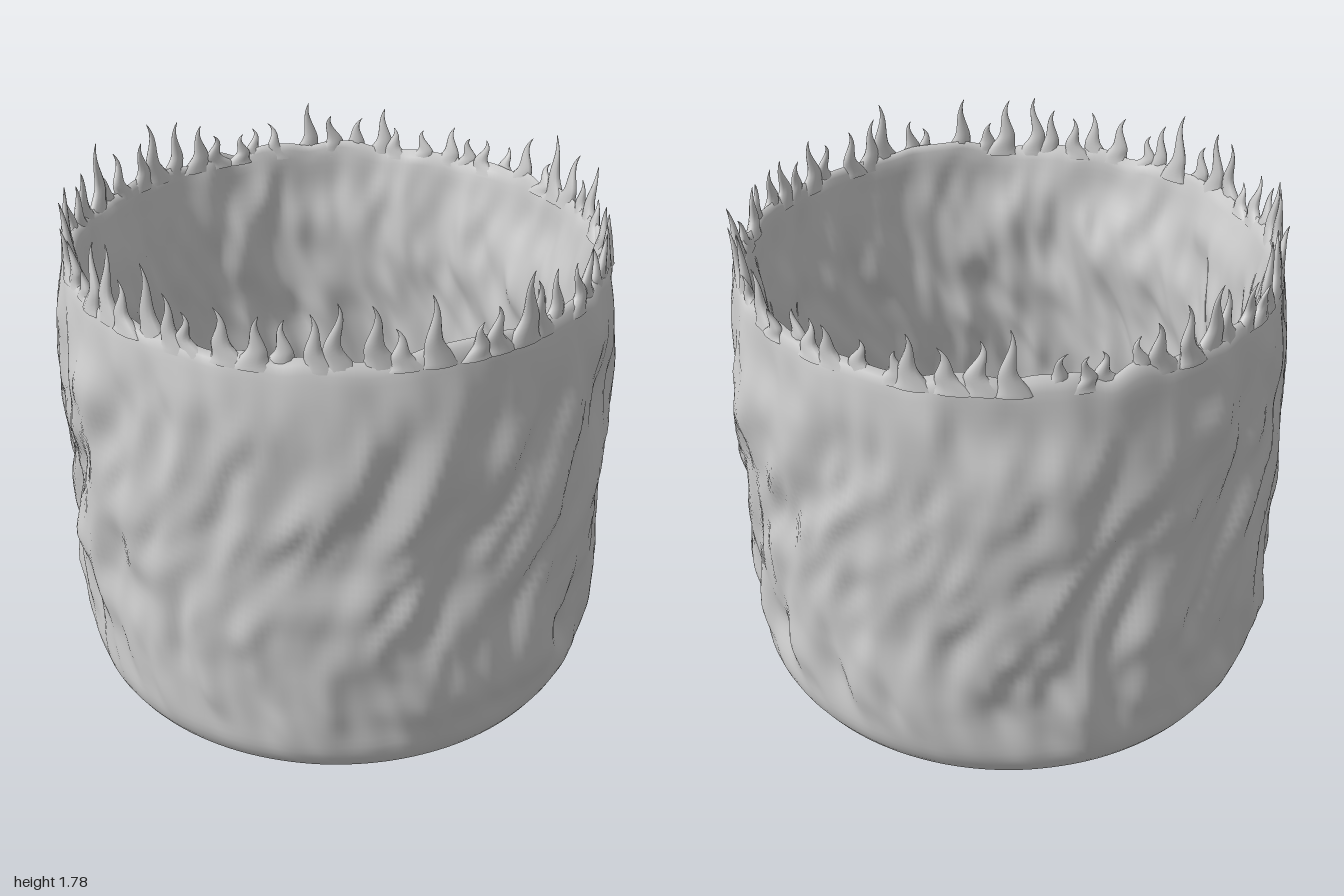
import * as THREE from 'three';
import { mergeVertices } from 'three/addons/utils/BufferGeometryUtils.js';

// Seeded value noise in 3D, range -1..1
function hash(x, y, z) {
  let h = Math.imul(x, 374761393) ^ Math.imul(y, 668265263) ^ Math.imul(z, 1440662683);
  h = Math.imul(h ^ (h >>> 13), 1274126177);
  return ((h ^ (h >>> 16)) >>> 0) / 4294967295;
}
function noise(x, y, z) {
  const i = Math.floor(x), j = Math.floor(y), k = Math.floor(z);
  const ease = t => t * t * (3 - 2 * t);
  const u = ease(x - i), v = ease(y - j), w = ease(z - k);
  const L = THREE.MathUtils.lerp;
  const row = (b, c) => L(hash(i, j + b, k + c), hash(i + 1, j + b, k + c), u);
  return 2 * L(L(row(0, 0), row(1, 0), v), L(row(0, 1), row(1, 1), v), w) - 1;
}

const material = new THREE.MeshStandardMaterial({ color: 0xcccccc, side: THREE.DoubleSide });
const smooth = THREE.MathUtils.smoothstep;

// Hollow wall: a closed lathe profile pushed in and out by tall, slanting bumps
function makeWall() {
  const profile = [
    [0.835, 0.03], [0.855, 0.004], [0.88, 0], [0.9, 0.012], [0.935, 0.08], [0.945, 0.2],
    [0.95, 0.6], [0.957, 1.05], [0.95, 1.3], [0.935, 1.46], [0.917, 1.55], [0.9, 1.575],
    [0.882, 1.55], [0.86, 1.44], [0.825, 1.25], [0.812, 0.9], [0.815, 0.4], [0.825, 0.12],
  ].map(([r, y]) => new THREE.Vector3(r, y, 0));
  const points = new THREE.CatmullRomCurve3(profile, true).getSpacedPoints(110)
    .map(p => new THREE.Vector2(p.x, Math.max(p.y, 0)));
  let geo = new THREE.LatheGeometry(points, 300);
  geo.deleteAttribute('uv');
  geo.deleteAttribute('normal');
  geo = mergeVertices(geo, 1e-5);
  const pos = geo.attributes.position;
  for (let i = 0; i < pos.count; i++) {
    const x = pos.getX(i), y = pos.getY(i), z = pos.getZ(i);
    const r = Math.hypot(x, z);
    const a = Math.atan2(x, z) + 0.14 * Math.sin(y * 3.5);
    const side = r > 0.89 ? 0 : 20;
    const sx = Math.sin(a), sz = Math.cos(a);
    const bump = 0.034 * noise(sx * 7 + side, y * 3.4, sz * 7)
      + 0.017 * noise(sx * 14 + 40, y * 7 + side, sz * 14);
    const fade = smooth(y, 0, 0.3) * (1 - 0.75 * smooth(y, 1.3, 1.56));
    const k = (r + bump * fade) / r;
    const lift = 0.02 * noise(sx * 9, 60, sz * 9) * smooth(y, 1.4, 1.57);
    pos.setXYZ(i, x * k, y + lift, z * k);
  }
  geo.computeVertexNormals();
  const wall = new THREE.Mesh(geo, material);
  wall.name = 'wall';
  return wall;
}

// Flame tongue: elliptical sections along an S-curve, flared at the foot
function makeTongue(width, height, sway, lean, tilt) {
  const rings = 16, sides = 10, verts = [], index = [];
  for (let i = 0; i <= rings; i++) {
    const t = i / rings;
    const flare = Math.pow(1 - t, 4);
    const body = Math.pow(1 - t, 0.7) * (0.55 + 0.45 * Math.sin(Math.PI * t));
    const w = width * (0.62 * flare + 0.36 * body) + 0.001;
    const d = 0.014 * flare + 0.019 * body + 0.001;
    const cx = sway * Math.sin(t * 5.2) * smooth(t, 0, 0.4) + lean * t * t;
    for (let j = 0; j < sides; j++) {
      const a = j / sides * Math.PI * 2;
      verts.push(cx + w * Math.cos(a), height * t, tilt * t * t + d * Math.sin(a));
      if (i < rings) {
        const p = i * sides + j, q = i * sides + (j + 1) % sides;
        index.push(p, p + sides, q, q, p + sides, q + sides);
      }
    }
  }
  const geo = new THREE.BufferGeometry();
  geo.setAttribute('position', new THREE.Float32BufferAttribute(verts, 3));
  geo.setIndex(index);
  geo.computeVertexNormals();
  return new THREE.Mesh(geo, material);
}

// Crown of flames all around the rim, tall ones mixed with short ones
function makeFlames() {
  const flames = new THREE.Group();
  flames.name = 'flames';
  const count = 62;
  for (let i = 0; i < count; i++) {
    const rnd = k => hash(i, k, 7);
    const angle = (i + 0.5 * (rnd(1) - 0.5)) / count * Math.PI * 2;
    const tall = rnd(2) > 0.72;
    const height = tall ? 0.2 + 0.05 * rnd(3) : 0.11 + 0.08 * rnd(3);
    const dir = rnd(4) > 0.5 ? 1 : -1;
    const tongue = makeTongue(0.07 + 0.022 * rnd(5), height,
      dir * (0.012 + 0.012 * rnd(6)), dir * (0.02 + 0.04 * rnd(8)), 0.05 * (rnd(9) - 0.4));
    const r = 0.9 + 0.02 * (rnd(10) - 0.5);
    tongue.position.set(Math.sin(angle) * r, 1.53, Math.cos(angle) * r);
    tongue.rotation.y = angle;
    tongue.name = 'flame';
    flames.add(tongue);
  }
  return flames;
}

export function createModel() {
  const model = new THREE.Group();
  model.name = 'flamingRing';
  model.add(makeWall(), makeFlames());
  return model;
}
